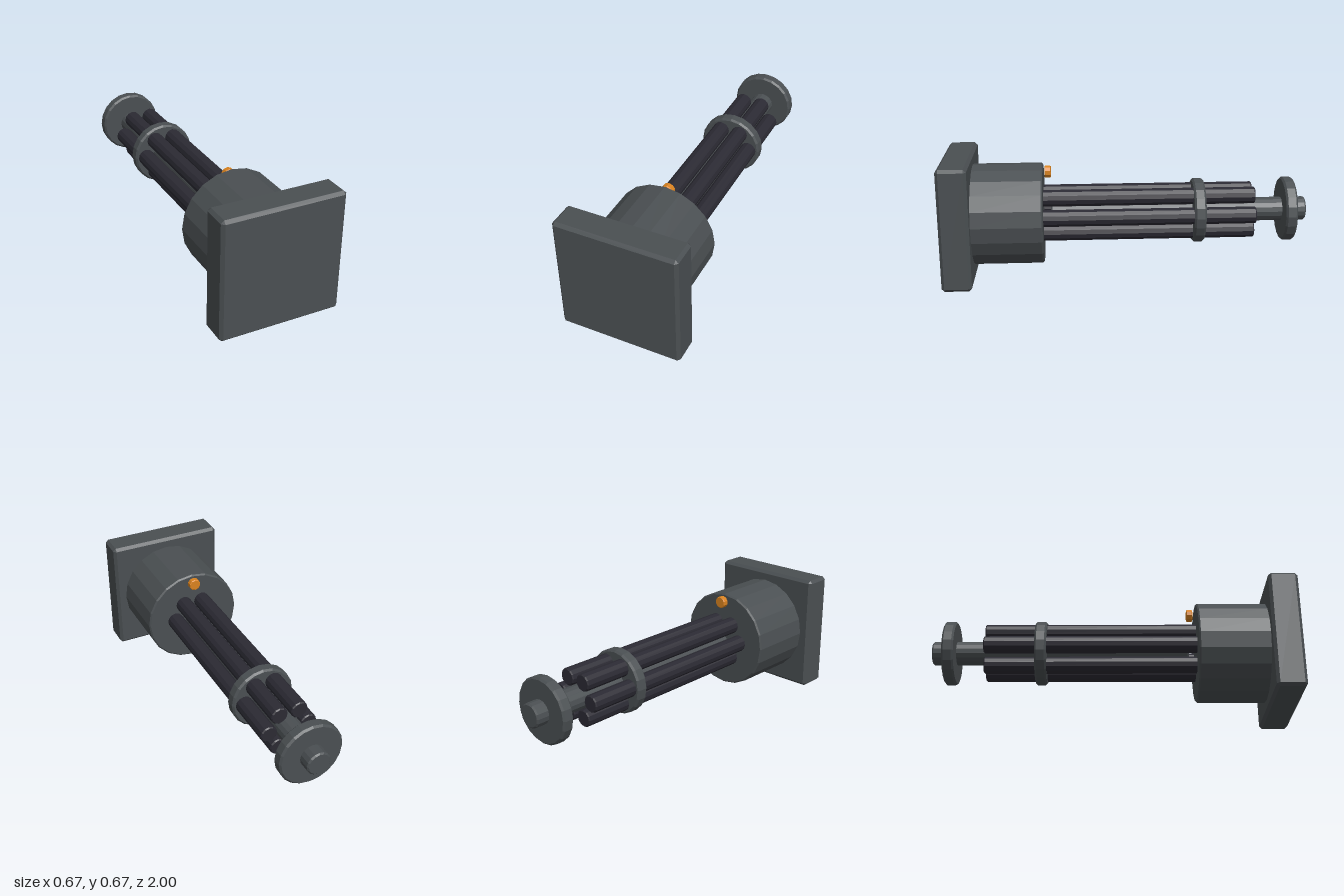
import * as THREE from 'three';
import { ConvexGeometry } from 'three/addons/geometries/ConvexGeometry.js';

const CENTER_Y = 0.333;

// Faceted rod along z from z0 to z1, with chamfered rims
function rod(radius, z0, z1, chamfer, sides) {
  const profile = [
    [0, z0], [radius - chamfer, z0], [radius, z0 + chamfer],
    [radius, z1 - chamfer], [radius - chamfer, z1], [0, z1],
  ].map(([r, z]) => new THREE.Vector2(r, z));
  const geometry = new THREE.LatheGeometry(profile, sides).toNonIndexed();
  geometry.rotateX(Math.PI / 2);
  geometry.computeVertexNormals();
  return geometry;
}

// Box with every edge and corner chamfered
function chamferedBox(w, h, d, c) {
  const points = [];
  for (const sx of [-1, 1]) for (const sy of [-1, 1]) for (const sz of [-1, 1]) {
    for (let face = 0; face < 3; face++) {
      const [x, y, z] = [w, h, d].map((s, i) => s / 2 - (i === face ? 0 : c));
      points.push(new THREE.Vector3(sx * x, sy * y, sz * z));
    }
  }
  return new ConvexGeometry(points);
}

export function createModel() {
  const model = new THREE.Group();
  model.name = 'rotaryGun';

  const gunmetal = new THREE.MeshStandardMaterial({ color: 0x4a4f52 });
  gunmetal.name = 'gunmetal';
  const darkSteel = new THREE.MeshStandardMaterial({ color: 0x2b2a33 });
  darkSteel.name = 'darkSteel';
  const orange = new THREE.MeshStandardMaterial({ color: 0xd9821f });
  orange.name = 'orange';

  const add = (name, geometry, material, x = 0, y = CENTER_Y, z = 0) => {
    const mesh = new THREE.Mesh(geometry, material);
    mesh.name = name;
    mesh.position.set(x, y, z);
    model.add(mesh);
  };

  // Mount and housing
  add('mountPlate', chamferedBox(0.666, 0.666, 0.16, 0.016), gunmetal, 0, CENTER_Y, 0.92);
  add('housing', rod(0.278, 0.46, 0.85, 0.008, 20), gunmetal);

  // Central shaft with its two discs
  add('shaft', rod(0.066, -1, 0.42, 0.008, 16), gunmetal);
  add('barrelClamp', rod(0.178, -0.427, -0.363, 0.01, 20), gunmetal);
  add('muzzleDisc', rod(0.178, -0.929, -0.865, 0.01, 20), gunmetal);

  // Six barrels around the shaft
  const barrel = rod(0.047, -0.705, 0.47, 0.006, 12);
  for (let i = 0; i < 6; i++) {
    const a = i * Math.PI / 3;
    add('barrel' + (i + 1), barrel, darkSteel,
      0.113 * Math.cos(a), CENTER_Y + 0.113 * Math.sin(a));
  }

  // Indicator light just off the housing face
  add('indicatorLight', rod(0.034, 0.416, 0.45, 0.004, 10), orange, 0, 0.567);

  return model;
}
